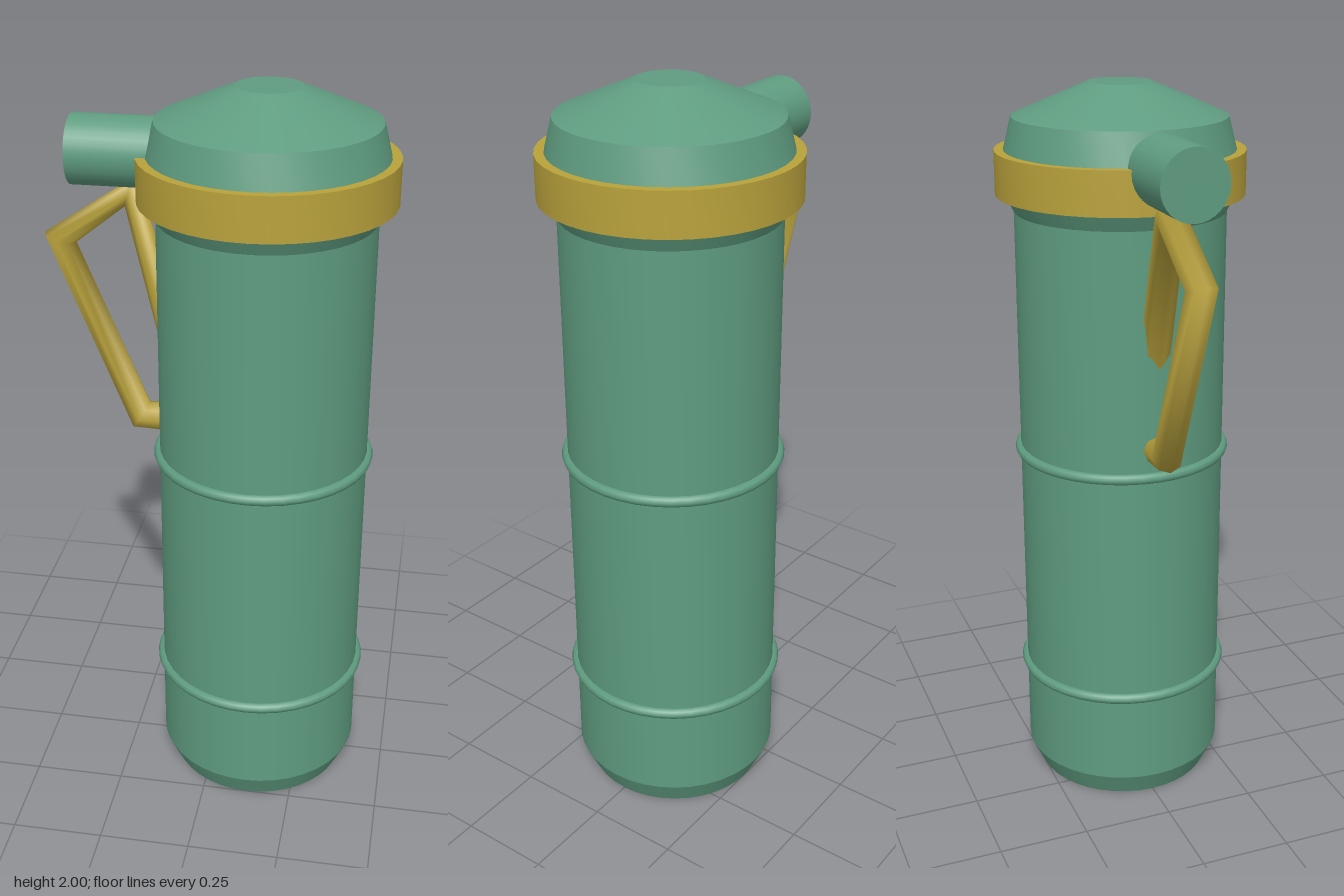
import * as THREE from 'three';
import { toCreasedNormals } from 'three/addons/utils/BufferGeometryUtils.js';

const AXIS_X = 0.125; // centre line of the canister

// Straight-segment path whose rings sit on the bisector of each corner
class Polyline extends THREE.Curve {
  constructor(points) {
    super();
    this.points = points.map(([x, y]) => new THREE.Vector3(x, y, 0));
  }
  index(u) {
    return Math.round(u * (this.points.length - 1));
  }
  getPointAt(u, target = new THREE.Vector3()) {
    return target.copy(this.points[this.index(u)]);
  }
  getTangentAt(u, target = new THREE.Vector3()) {
    const i = this.index(u), p = this.points;
    target.set(0, 0, 0);
    if (i > 0) target.add(p[i].clone().sub(p[i - 1]).normalize());
    if (i < p.length - 1) target.add(p[i + 1].clone().sub(p[i]).normalize());
    return target.normalize();
  }
}

export function createModel() {
  const model = new THREE.Group();
  model.name = 'canister';
  const green = new THREE.MeshStandardMaterial({ color: 0x5f9c80 });
  green.name = 'green';
  const gold = new THREE.MeshStandardMaterial({ color: 0xb9a23c });
  gold.name = 'gold';

  const add = (name, geometry, material, x, y = 0) => {
    const mesh = new THREE.Mesh(geometry, material);
    mesh.name = name;
    mesh.position.set(x, y, 0);
    model.add(mesh);
    return mesh;
  };
  const lathe = (profile) => toCreasedNormals(
    new THREE.LatheGeometry(profile.map(([r, y]) => new THREE.Vector2(r, y)), 40), 0.35);

  // Body with a chamfered foot and a flared neck
  add('body', lathe([
    [0, 0], [0.25, 0], [0.283, 0.07], [0.283, 1.67], [0.306, 1.715], [0.306, 1.83],
  ]), green, AXIS_X);

  // Domed lid
  add('lid', lathe([[0.306, 1.83], [0.284, 1.915], [0.085, 2], [0, 2]]), green, AXIS_X);

  // Collar ring
  add('collar', lathe([
    [0.3, 1.715], [0.331, 1.715], [0.331, 1.83], [0.3, 1.83],
  ]), gold, AXIS_X);

  // Raised ribs around the body
  for (const y of [0.335, 1.005]) {
    const rib = add('rib', new THREE.TorusGeometry(0.284, 0.015, 8, 40), green, AXIS_X, y);
    rib.rotation.x = Math.PI / 2;
  }

  // Side spout
  const spout = add('spout', new THREE.CylinderGeometry(0.09, 0.09, 0.325, 32), green, -0.2125, 1.82);
  spout.rotation.z = Math.PI / 2;

  // Bent handle, both ends sunk into the body
  const path = new Polyline([
    [-0.1, 1.083], [-0.214, 1.083], [-0.418, 1.582], [-0.226, 1.717], [-0.079, 1.15],
  ]);
  add('handle', new THREE.TubeGeometry(path, 4, 0.043, 8, false), gold, 0);

  return model;
}
